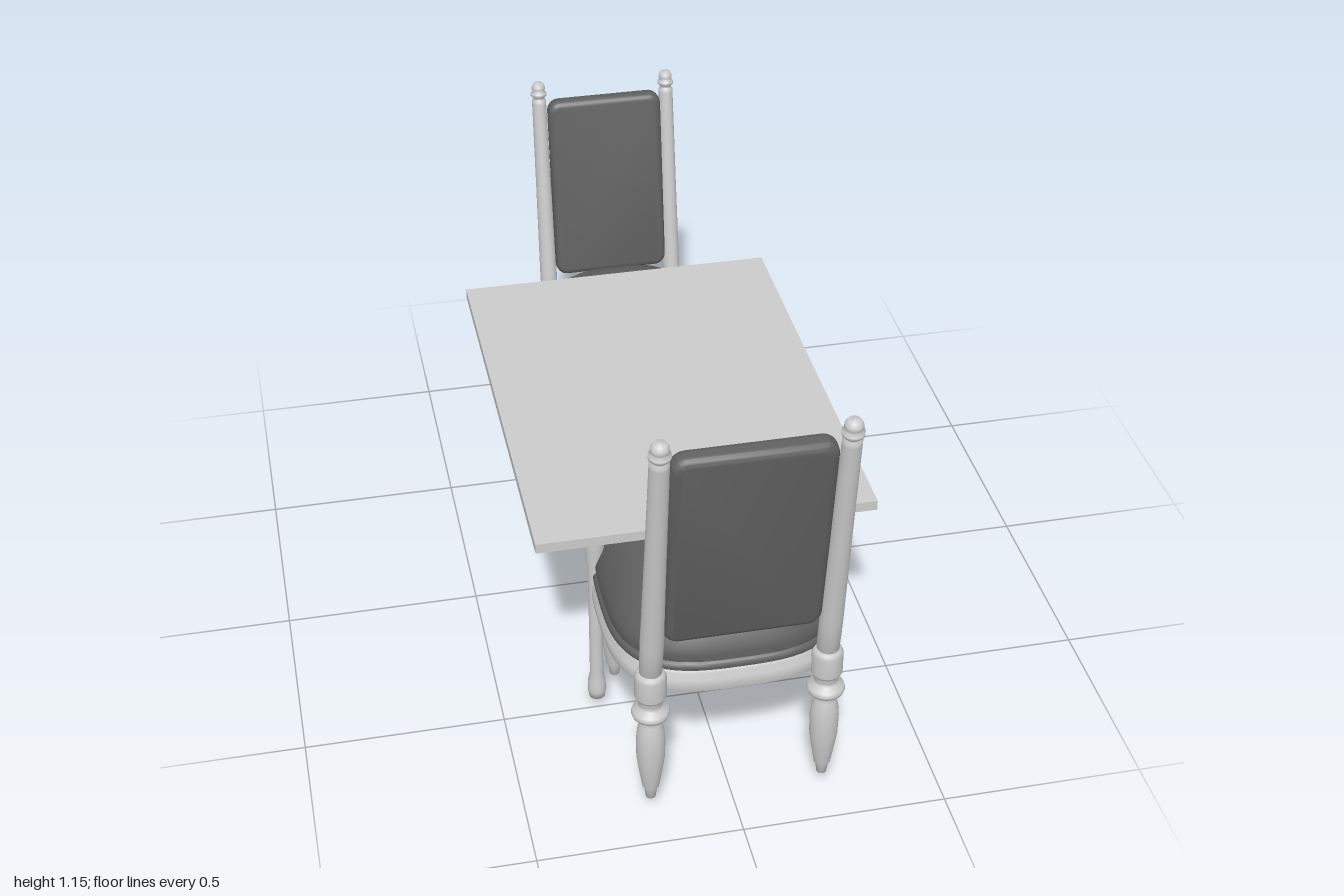
import * as THREE from 'three';
import { mergeVertices, toCreasedNormals } from 'three/addons/utils/BufferGeometryUtils.js';

const wood = new THREE.MeshStandardMaterial({ color: 0xcccccc });
const fabric = new THREE.MeshStandardMaterial({ color: 0x606060 });

function add(parent, name, geometry, material, x = 0, y = 0, z = 0) {
  const mesh = new THREE.Mesh(geometry, material);
  mesh.name = name;
  mesh.position.set(x, y, z);
  parent.add(mesh);
  return mesh;
}

// Turned part from [radius, height] pairs, bottom to top
function turned(profile, sides = 28) {
  return new THREE.LatheGeometry(profile.map(([r, y]) => new THREE.Vector2(r, y)), sides);
}

// Seat-shaped solid: a turned unit profile squared off in plan to a superellipse
function seatShape(profile, halfX, halfZ, power = 3) {
  let geo = turned(profile, 72);
  const pos = geo.attributes.position;
  for (let i = 0; i < pos.count; i++) {
    const x = pos.getX(i), z = pos.getZ(i), r = Math.hypot(x, z);
    if (r < 1e-6) continue;
    const k = (Math.abs(x / r) ** power + Math.abs(z / r) ** power) ** (-1 / power);
    pos.setX(i, x * k * halfX);
    pos.setZ(i, z * k * halfZ);
  }
  geo.deleteAttribute('uv');
  geo.deleteAttribute('normal');
  geo = mergeVertices(geo, 1e-5);
  geo.computeVertexNormals();
  return toCreasedNormals(geo, 0.7);
}

// Padded panel with rounded corners and edges
function paddedPanel(width, height, thickness) {
  const bevel = 0.02, w = width / 2 - bevel, h = height / 2 - bevel, r = 0.018;
  const s = new THREE.Shape();
  s.absarc(w - r, h - r, r, 0, Math.PI / 2);
  s.absarc(-w + r, h - r, r, Math.PI / 2, Math.PI);
  s.absarc(-w + r, -h + r, r, Math.PI, Math.PI * 1.5);
  s.absarc(w - r, -h + r, r, Math.PI * 1.5, Math.PI * 2);
  const geo = new THREE.ExtrudeGeometry(s, {
    depth: thickness - 2 * bevel, bevelEnabled: true, bevelSize: bevel,
    bevelThickness: bevel, bevelSegments: 5, curveSegments: 6,
  });
  geo.translate(0, 0, bevel - thickness / 2);
  return toCreasedNormals(geo, 0.6);
}

const legProfile = [
  [0, 0], [0.012, 0], [0.016, 0.03], [0.02, 0.035], [0.028, 0.085], [0.034, 0.13],
  [0.035, 0.18], [0.032, 0.215], [0.026, 0.235], [0.023, 0.25], [0.03, 0.255],
  [0.043, 0.262], [0.046, 0.27], [0.043, 0.28], [0.03, 0.29], [0.028, 0.3], [0.034, 0.315], [0.034, 0.33],
];
const blockProfile = [
  [0, 0.315], [0.034, 0.315], [0.038, 0.323], [0.038, 0.378], [0.034, 0.388], [0.026, 0.396], [0, 0.396],
];
const postProfile = [
  [0, -0.01], [0.027, -0.01], [0.028, 0.1], [0.025, 0.4], [0.023, 0.67], [0.023, 0.68], [0.018, 0.685],
  [0.018, 0.69], [0.026, 0.697], [0.026, 0.704], [0.018, 0.71], [0.022, 0.717], [0.021, 0.725],
  [0.015, 0.735], [0, 0.738],
];
const frameProfile = [
  [0, 0.32], [0.96, 0.32], [0.99, 0.324], [1, 0.335], [1, 0.36], [0.985, 0.366],
  [0.985, 0.376], [0.965, 0.384], [0, 0.384],
];
const cushionProfile = [
  [0, 0.38], [0.96, 0.38], [0.985, 0.386], [0.99, 0.394], [0.98, 0.402], [0.96, 0.406],
  [0.97, 0.425], [0.95, 0.443], [0.91, 0.466], [0.82, 0.505], [0.7, 0.535], [0.52, 0.553],
  [0.28, 0.56], [0, 0.56],
];

// Chair facing +z, standing on its own y = 0
function chair(name) {
  const g = new THREE.Group();
  g.name = name;
  const halfX = 0.212, rearZ = -0.272, frontZ = 0.185;
  add(g, 'seatFrame', seatShape(frameProfile, 0.285, 0.295), wood);
  add(g, 'seatCushion', seatShape(cushionProfile, 0.285, 0.295), fabric);

  // Reclined back
  const back = new THREE.Group();
  back.name = 'back';
  back.position.set(0, 0.385, rearZ);
  back.rotation.x = -0.145;
  g.add(back);
  add(back, 'backPanel', paddedPanel(0.375, 0.575, 0.055), fabric, 0, 0.393, 0.012);

  for (const [side, sx] of [['Left', 1], ['Right', -1]]) {
    add(g, 'frontLeg' + side, turned(legProfile), wood, sx * halfX, 0, frontZ);
    add(g, 'rearLeg' + side, turned(legProfile), wood, sx * halfX, 0, rearZ);
    add(g, 'postBlock' + side, turned(blockProfile), wood, sx * halfX, 0, rearZ);
    add(back, 'backPost' + side, turned(postProfile), wood, sx * halfX, 0, 0);
  }
  return g;
}

function table() {
  const g = new THREE.Group();
  g.name = 'table';
  add(g, 'tableTop', new THREE.BoxGeometry(0.834, 0.026, 1.16), wood, -0.002, 0.612, 0.02);
  const profile = [
    [0, 0.04], [0.02, 0.04], [0.023, 0.06], [0.022, 0.09], [0.017, 0.115], [0.017, 0.38],
    [0.019, 0.46], [0.024, 0.51], [0.025, 0.56], [0.024, 0.6], [0, 0.6],
  ];
  for (const x of [-0.26, 0.255])
    for (const z of [0.493, -0.442]) add(g, 'tableLeg', turned(profile, 24), wood, x, 0, z);
  return g;
}

export function createModel() {
  const model = new THREE.Group();
  model.name = 'diningSet';
  model.add(table());

  // Larger chair at the front, facing the table
  const large = chair('largeChair');
  large.position.set(0.011, 0.04, 0.605);
  large.rotation.y = Math.PI;
  model.add(large);

  // Smaller chair at the far end
  const small = chair('smallChair');
  small.position.set(0.043, 0.004, -0.612);
  small.scale.set(0.86, 0.915, 0.95);
  model.add(small);
  return model;
}
